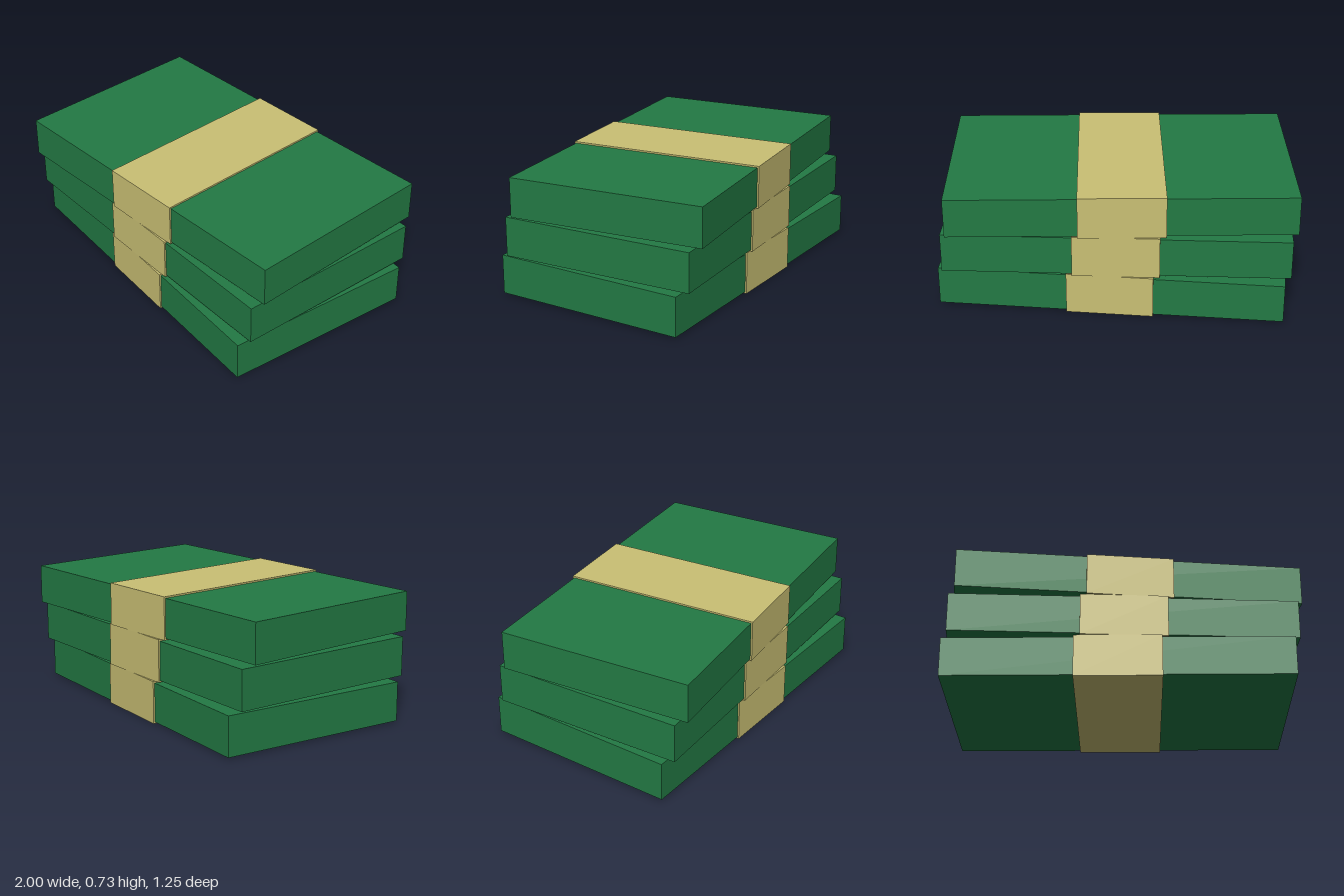
import * as THREE from 'three';

const green = new THREE.MeshStandardMaterial({ color: 0x237a44 });
green.name = 'note green';
const tan = new THREE.MeshStandardMaterial({ color: 0xcac074 });
tan.name = 'paper band tan';

const PITCH = 0.2427; // height of one banded bundle
const TWIST = 0.061; // alternating turn of the bundles

function box(name, w, h, d, material) {
  const mesh = new THREE.Mesh(new THREE.BoxGeometry(w, h, d), material);
  mesh.name = name;
  return mesh;
}

// One block of notes with a paper band wrapped around its middle
function createBundle(name) {
  const bundle = new THREE.Group();
  bundle.name = name;
  bundle.add(box('notes', 1.932, 0.2245, 1.13, green));
  bundle.add(box('paperBand', 0.486, PITCH, 1.148, tan));
  return bundle;
}

export function createModel() {
  const model = new THREE.Group();
  model.name = 'bundleStack';
  ['bottomBundle', 'middleBundle', 'topBundle'].forEach((name, i) => {
    const bundle = createBundle(name);
    bundle.position.y = PITCH * (i + 0.5);
    bundle.rotation.y = TWIST * (i - 1);
    model.add(bundle);
  });
  return model;
}
